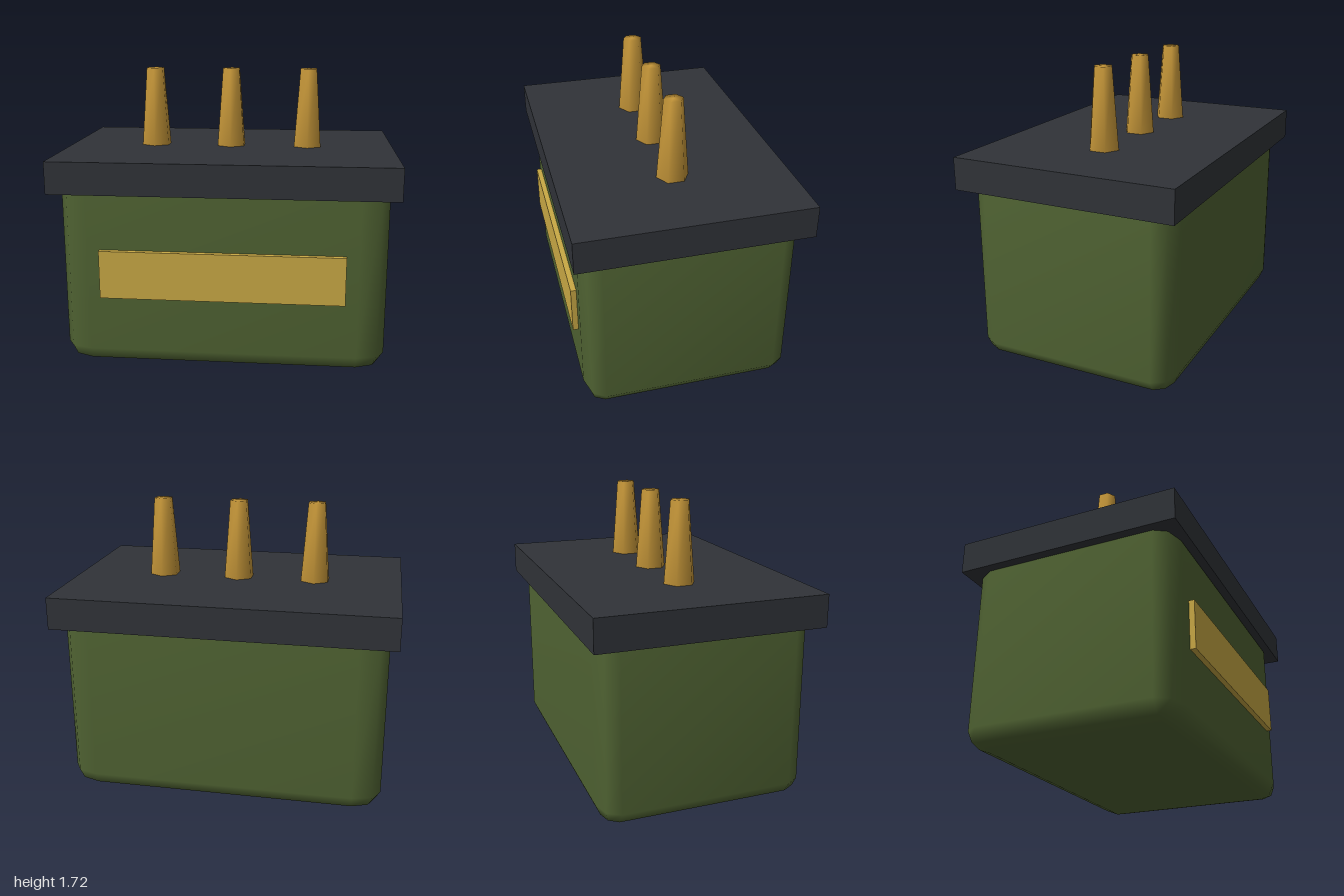
import * as THREE from 'three';
import { mergeVertices } from 'three/addons/utils/BufferGeometryUtils.js';
import { RoundedBoxGeometry } from 'three/addons/geometries/RoundedBoxGeometry.js';

const GREEN = 0x4f6232, DARK = 0x303338, BRASS = 0xc9993a, LABEL = 0xc9a945;

// Weld a geometry so its shading runs smoothly over every edge
function smooth(geometry) {
  geometry.deleteAttribute('normal');
  geometry.deleteAttribute('uv');
  const welded = mergeVertices(geometry, 1e-4);
  welded.computeVertexNormals();
  return welded;
}

function addPart(group, name, geometry, color, x, y, z) {
  const mesh = new THREE.Mesh(geometry, new THREE.MeshStandardMaterial({ color }));
  mesh.name = name;
  mesh.position.set(x, y, z);
  group.add(mesh);
  return mesh;
}

export function createModel() {
  const model = new THREE.Group();
  model.name = 'terminalBox';

  // Body: a unit rounded cube stretched to size, so its bevels stretch too
  const body = new RoundedBoxGeometry(1, 1, 1, 1, 0.087).scale(1.9, 1.14, 1.24);
  addPart(model, 'body', smooth(body), GREEN, 0, 0.57, 0);

  // Overhanging lid
  addPart(model, 'lid', new THREE.BoxGeometry(2, 0.19, 1.333), DARK, 0, 1.145, 0);

  // Raised plate on the front
  addPart(model, 'frontPlate', new THREE.BoxGeometry(1.42, 0.285, 0.06), LABEL, 0, 0.575, 0.622);

  // Row of tapered six-sided pins
  const pin = smooth(new THREE.CylinderGeometry(0.057, 0.095, 0.48, 6));
  ['rightPin', 'middlePin', 'leftPin'].forEach((name, i) => {
    addPart(model, name, pin, BRASS, (i - 1) * 0.475, 1.478, 0);
  });

  return model;
}
